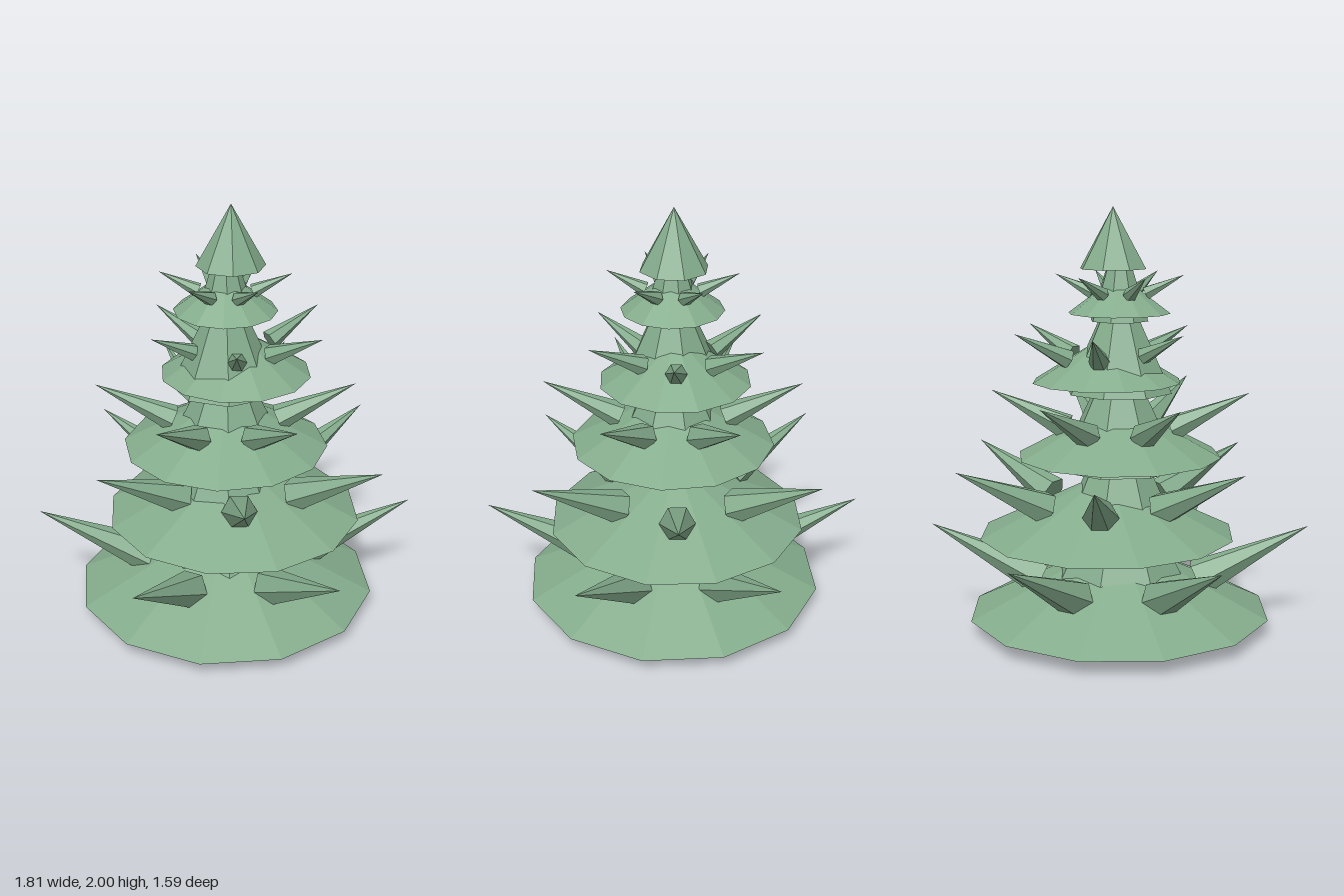
import * as THREE from 'three';

const rad = THREE.MathUtils.degToRad;

export function createModel() {
  const group = new THREE.Group();
  const green = new THREE.MeshStandardMaterial({ color: 0x84ac8c, flatShading: true });
  green.name = 'pine green';

  // Faceted cone standing on its base at (x, y, z)
  function cone(name, radius, height, sides, turn, x, y, z) {
    const geo = new THREE.ConeGeometry(radius, height, sides);
    geo.translate(0, height / 2, 0);
    const mesh = new THREE.Mesh(geo, green);
    mesh.name = name;
    mesh.rotation.y = rad(turn);
    mesh.position.set(x, y, z);
    return mesh;
  }

  // Spike from a base point to a tip point, swung round the tier axis
  function spike(s, angle) {
    const base = new THREE.Vector3(0, s.baseY, s.baseR);
    const tip = new THREE.Vector3(0, s.tipY, s.tipR);
    const length = base.distanceTo(tip);
    const geo = new THREE.ConeGeometry(s.radius, length, 6);
    geo.rotateY(rad(30));
    geo.translate(0, length / 2, 0);
    geo.rotateX(Math.atan2(s.tipR - s.baseR, s.tipY - s.baseY));
    geo.translate(0, s.baseY, s.baseR);
    const mesh = new THREE.Mesh(geo, green);
    mesh.name = 'spike';
    mesh.rotation.y = rad(angle);
    return mesh;
  }

  // Tiers, bottom to top: inner cone, wide skirt and ring of six spikes
  const tiers = [
    { inner: [0.45, 0, 0.85], skirt: [0.725, 0.07, 0.35, 12, 17], at: [0, 0.01], ring: [0, 0.01], turn: 90,
      spike: { tipR: 0.905, tipY: 0.49, baseR: 0.38, baseY: 0.225, radius: 0.093 } },
    { inner: [0.33, 0.39, 0.71], skirt: [0.615, 0.45, 0.3, 12, 15], at: [0.042, -0.033], ring: [0.055, -0.04], turn: -1.3,
      spike: { tipR: 0.755, tipY: 0.82, baseR: 0.31, baseY: 0.6, radius: 0.085 } },
    { inner: [0.3, 0.78, 0.62], skirt: [0.485, 0.835, 0.26, 12, 22], at: [0, 0.01], ring: [0, 0.01], turn: 87,
      spike: { tipR: 0.61, tipY: 1.14, baseR: 0.25, baseY: 0.965, radius: 0.065 } },
    { inner: [0.255, 1.14, 0.55], skirt: [0.355, 1.185, 0.22, 12, 15], at: [0.05, -0.03], ring: [0.055, -0.045], turn: -4,
      spike: { tipR: 0.445, tipY: 1.43, baseR: 0.18, baseY: 1.3, radius: 0.05 } },
    { inner: [0.14, 1.475, 0.44], skirt: [0.24, 1.51, 0.18, 12, 24], at: [0, 0.01], ring: [0, 0.01], turn: 84,
      spike: { tipR: 0.302, tipY: 1.69, baseR: 0.125, baseY: 1.603, radius: 0.034 } },
  ];

  tiers.forEach((t, i) => {
    const tier = new THREE.Group();
    tier.name = `tier${i + 1}`;
    const [ir, iy, ih] = t.inner;
    tier.add(cone('innerCone', ir, ih, 8, 0, 0, iy, 0.01));
    const [sr, sy, sh, sides, turn] = t.skirt;
    tier.add(cone('skirt', sr, sh, sides, turn, t.at[0], sy, t.at[1]));
    const ring = new THREE.Group();
    ring.name = 'spikeRing';
    ring.position.set(t.ring[0], 0, t.ring[1]);
    for (let k = 0; k < 6; k++) ring.add(spike(t.spike, t.turn + k * 60));
    tier.add(ring);
    group.add(tier);
  });

  // Pointed top
  group.add(cone('treeTop', 0.16, 0.285, 8, 0, 0.025, 1.715, -0.01));
  return group;
}
